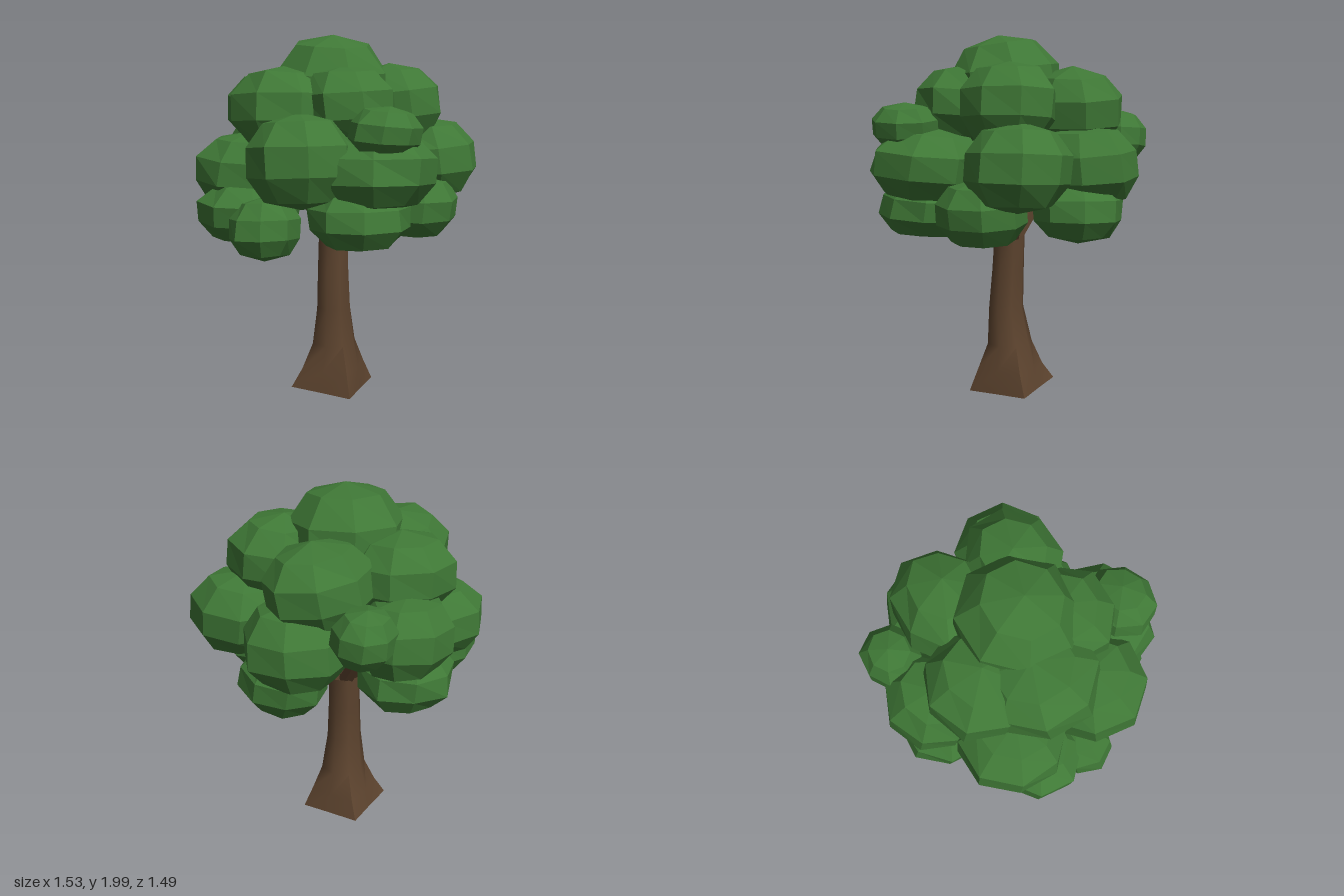
import * as THREE from 'three';
import { toCreasedNormals } from 'three/addons/utils/BufferGeometryUtils.js';

const leafGreen = new THREE.MeshStandardMaterial({ color: 0x3f7836, flatShading: true });
leafGreen.name = 'leaf green';
const barkBrown = new THREE.MeshStandardMaterial({ color: 0x5c432e, side: THREE.DoubleSide });
barkBrown.name = 'bark brown';

// Repeatable value in -1..1 from a point and a seed (same for seam duplicates)
function noise(x, y, z, seed) {
  const r = (v) => Math.round(v * 100) / 100;
  const s = Math.sin(r(x) * 12.99 + r(y) * 78.23 + r(z) * 37.72 + seed * 4.13) * 43758.5453;
  return (s - Math.floor(s)) * 2 - 1;
}

// Faceted, slightly irregular leaf clump with broad, flattened caps
function clump(name, [x, y, z], [rx, ry, rz], turn, seed) {
  let geo = new THREE.SphereGeometry(1, 8, 5);
  const p = geo.attributes.position;
  const v = new THREE.Vector3();
  for (let i = 0; i < p.count; i++) {
    v.fromBufferAttribute(p, i);
    const size = 1.03 + 0.04 * noise(v.x, v.y, v.z, seed);
    const h = Math.abs(v.y);
    const widen = h > 0.5 && h < 0.99 ? 1.1 : 1;
    p.setXYZ(i, v.x * size * widen, v.y * size, v.z * size * widen);
  }
  // turn and tilt before stretching, so the overall size is kept
  geo.rotateY(turn);
  geo.rotateX(0.1 * Math.sin(seed * 2.3));
  geo.rotateZ(0.1 * Math.cos(seed * 3.1));
  geo.scale(rx, ry, rz);
  geo = geo.toNonIndexed();
  geo.computeVertexNormals();
  const mesh = new THREE.Mesh(geo, leafGreen);
  mesh.name = name;
  mesh.position.set(x, y, z);
  return mesh;
}

// Trunk: round at the top, flaring to four root corners on a sloped, open base
function makeTrunk() {
  const rows = [ // height, corner radius, side radius, centre x, centre z
    [0, 0.25, 0.175, -0.03, 0],
    [0.13, 0.19, 0.155, -0.02, 0],
    [0.27, 0.13, 0.122, -0.015, 0],
    [0.48, 0.1, 0.1, 0, 0.015],
    [0.7, 0.092, 0.092, -0.01, 0.01],
    [0.89, 0.088, 0.088, -0.015, 0.003],
  ];
  const geo = new THREE.CylinderGeometry(1, 1, 1, 8, 5, true);
  const p = geo.attributes.position;
  for (let i = 0; i < p.count; i++) {
    const row = Math.round((p.getY(i) + 0.5) * 5);
    const [h, corner, side, cx, cz] = rows[row];
    const angle = Math.atan2(p.getX(i), p.getZ(i));
    const isCorner = Math.round(angle / (Math.PI / 4)) % 2 === 0;
    const r = isCorner ? corner : side;
    const a = angle - 0.31;
    const px = cx + r * Math.sin(a), pz = cz + r * Math.cos(a);
    const slope = row === 0 ? 0.016 - 0.075 * px : 0;
    p.setXYZ(i, px, h + slope, pz);
  }
  const mesh = new THREE.Mesh(toCreasedNormals(geo, 1.0), barkBrown);
  mesh.name = 'trunk';
  return mesh;
}

// Tapered branch between two points
function branch(from, to) {
  const a = new THREE.Vector3(...from), b = new THREE.Vector3(...to);
  const dir = b.clone().sub(a);
  const geo = new THREE.CylinderGeometry(0.032, 0.042, dir.length(), 5);
  const mesh = new THREE.Mesh(toCreasedNormals(geo, 0.5), barkBrown);
  mesh.name = 'branch';
  mesh.position.copy(a).add(b).multiplyScalar(0.5);
  mesh.quaternion.setFromUnitVectors(new THREE.Vector3(0, 1, 0), dir.normalize());
  return mesh;
}

export function createModel() {
  const tree = new THREE.Group();
  tree.name = 'tree';
  tree.add(makeTrunk());

  // Branches fanning out from the trunk top into the crown
  const branches = new THREE.Group();
  branches.name = 'branches';
  const tips = [[0.25, 1.12, 0.02], [-0.24, 1.14, -0.02], [0.07, 1.14, -0.24],
    [0.02, 1.14, 0.24], [-0.01, 1.35, 0]];
  for (const t of tips) branches.add(branch([t[0] * 0.15 - 0.01, 0.87, t[2] * 0.15], t));
  tree.add(branches);

  // Crown clumps: name, centre, radii, turn about the vertical
  const clumps = [
    ['topClump', [0, 1.715, 0.02], [0.31, 0.28, 0.315], 0.39],
    // upper ring
    ['upperFrontClump', [-0.05, 1.6, 0.31], [0.315, 0.22, 0.3], 0.39],
    ['upperRightClump', [-0.315, 1.59, 0.16], [0.27, 0.21, 0.29], 0],
    ['upperLeftClump', [0.23, 1.62, 0.11], [0.255, 0.21, 0.265], 0.39],
    ['upperBackRightClump', [-0.24, 1.59, -0.28], [0.26, 0.22, 0.3], 0.3],
    ['upperBackLeftClump', [0.18, 1.62, -0.28], [0.25, 0.22, 0.28], 0.39],
    // middle ring
    ['middleFrontRightClump', [-0.27, 1.27, 0.41], [0.29, 0.2, 0.285], 0.39],
    ['middleFrontLeftClump', [0.215, 1.35, 0.42], [0.29, 0.24, 0.285], 0.25],
    ['middleRightClump', [-0.53, 1.35, 0.04], [0.235, 0.21, 0.27], 0],
    ['middleLeftClump', [0.44, 1.3, 0.11], [0.32, 0.2, 0.32], 0],
    ['middleBackRightClump', [-0.225, 1.3, -0.41], [0.29, 0.22, 0.285], 0.05],
    ['middleBackLeftClump', [0.25, 1.31, -0.47], [0.275, 0.22, 0.285], 0.25],
    // small outer clumps
    ['smallLeftClump', [0.55, 1.5, 0.15], [0.18, 0.13, 0.195], 0],
    ['smallRightClump', [-0.58, 1.435, -0.24], [0.16, 0.15, 0.17], 0.2],
    // lower ring
    ['lowerFrontRightClump', [-0.18, 1.06, 0.46], [0.25, 0.17, 0.295], 0.3],
    ['lowerFrontClump', [0.07, 1.0, 0.54], [0.17, 0.16, 0.2], 0.1],
    ['lowerRightClump', [-0.5, 1.1, 0.08], [0.24, 0.17, 0.26], 0.39],
    ['lowerLeftClump', [0.41, 1.06, 0.19], [0.25, 0.165, 0.285], 0.2],
    ['lowerBackLeftClump', [0.34, 1.07, -0.28], [0.24, 0.17, 0.25], 0.2],
    ['lowerBackClump', [-0.15, 1.07, -0.45], [0.25, 0.17, 0.23], 0.3],
  ];
  const crown = new THREE.Group();
  crown.name = 'crown';
  clumps.forEach(([name, centre, radii, turn], i) => crown.add(clump(name, centre, radii, turn, i + 1)));
  tree.add(crown);
  return tree;
}
